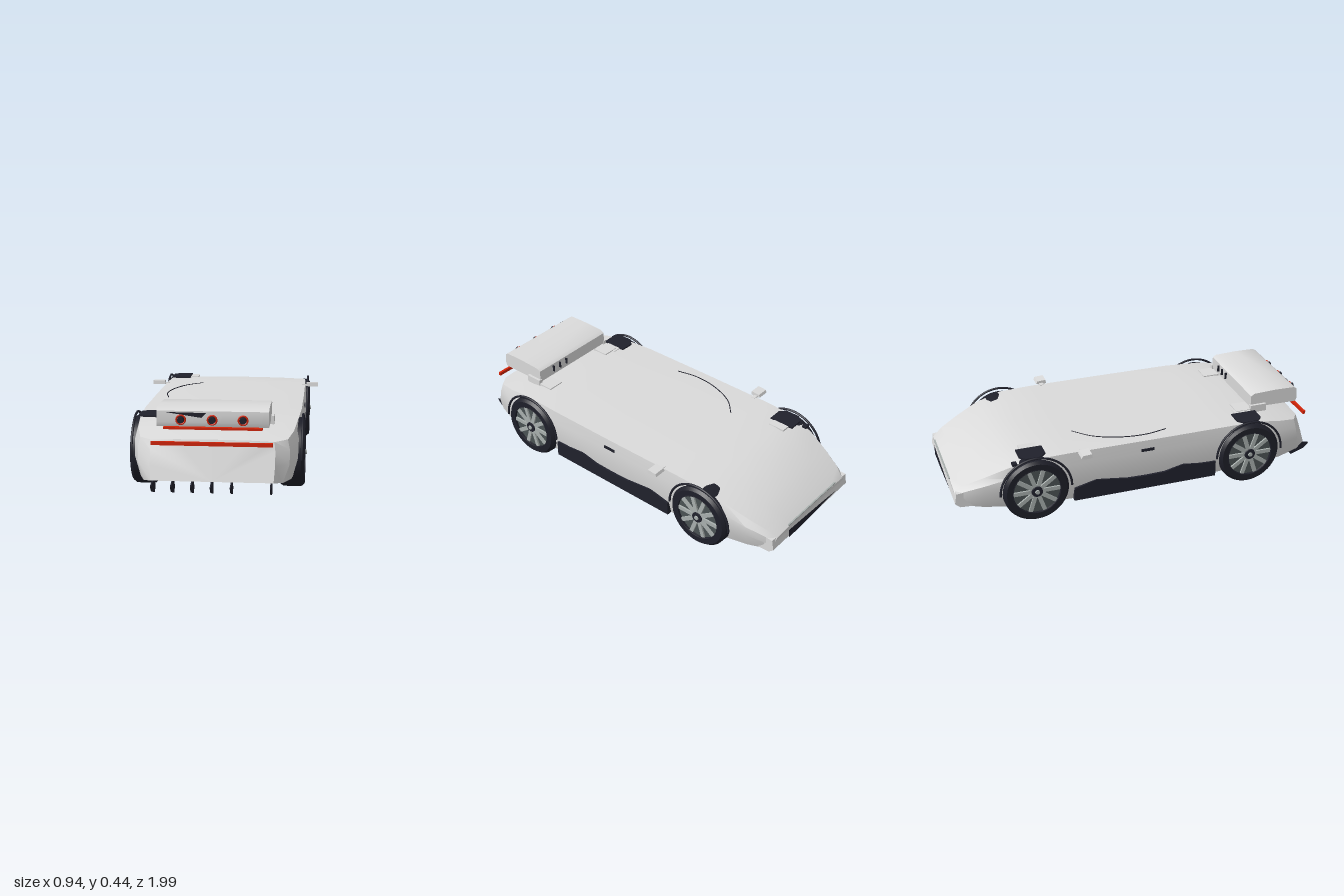
import * as THREE from 'three';
import { toCreasedNormals } from 'three/addons/utils/BufferGeometryUtils.js';

const mat = (name, color, side = THREE.FrontSide) => {
  const m = new THREE.MeshStandardMaterial({ color, side });
  m.name = name;
  return m;
};

// Closed body skin lofted through rings; each ring is
// [z at bottom, z at top, bottom y, bottom half width, waist y, waist half width, shoulder y, shoulder half width, crown]
function loftBody(rings) {
  const pos = [], idx = [];
  let n = 0;
  for (const [zb, zt, yb, wb, ym, wm, yt, wt, crown] of rings) {
    const half = [[wb, yb], [wm, ym], [wm, ym + (yt - ym) * 0.6], [wt, yt], [wt * 0.6, yt + crown * 0.75]];
    const ring = [[0, yb], ...half, [0, yt + crown], ...half.slice().reverse().map(([x, y]) => [-x, y])];
    n = ring.length;
    for (const [x, y] of ring) {
      const t = Math.min(1, (y - yb) / (yt - yb));
      pos.push(x, y, zb + (zt - zb) * t);
    }
  }
  const last = rings.length - 1;
  for (let i = 0; i < last; i++) for (let j = 0; j < n; j++) {
    const k = (j + 1) % n, a = i * n + j, b = i * n + k;
    idx.push(a, b, b + n, a, b + n, a + n);
  }
  for (let j = 1; j < n - 1; j++) {
    idx.push(0, j + 1, j);
    idx.push(last * n, last * n + j, last * n + j + 1);
  }
  const g = new THREE.BufferGeometry();
  g.setAttribute('position', new THREE.Float32BufferAttribute(pos, 3));
  g.setIndex(idx);
  return toCreasedNormals(g, 0.55);
}

// Side profile of [z, y] points, extruded along x from x0
function sideProfile(points, x0, depth) {
  const shape = new THREE.Shape(points.map(([z, y]) => new THREE.Vector2(z, y)));
  const g = new THREE.ExtrudeGeometry(shape, { depth, bevelEnabled: false });
  g.rotateY(-Math.PI / 2);
  g.translate(x0 + depth, 0, 0);
  return toCreasedNormals(g, 0.7);
}

export function createModel() {
  const car = new THREE.Group();
  car.name = 'car';
  const paint = mat('body paint', 0xdadada);
  const dark = mat('dark trim', 0x20212c, THREE.DoubleSide);
  const tyreMat = mat('tyre rubber', 0x1e1f29);
  const red = mat('red light', 0xd42408);
  const silver = mat('spoke silver', 0xa9b0ae);
  const rimMat = mat('rim grey', 0x4b5354);

  const add = (name, geo, material, parent = car) => {
    const m = new THREE.Mesh(geo, material);
    m.name = name;
    parent.add(m);
    return m;
  };
  const box = (name, x, y, z, w, h, d, material, parent) => {
    const m = add(name, new THREE.BoxGeometry(w, h, d), material, parent);
    m.position.set(x, y, z);
    return m;
  };

  // Body skin from the low nose to the raked tail
  add('body', loftBody([
    [-0.975, -0.98, 0.11, 0.28, 0.14, 0.31, 0.18, 0.29, 0.008],
    [-0.93, -0.93, 0.1, 0.32, 0.15, 0.335, 0.215, 0.315, 0.012],
    [-0.84, -0.84, 0.085, 0.34, 0.17, 0.37, 0.255, 0.345, 0.022],
    [-0.72, -0.72, 0.077, 0.36, 0.18, 0.395, 0.305, 0.375, 0.022],
    [-0.58, -0.58, 0.072, 0.375, 0.18, 0.4, 0.341, 0.392, 0.008],
    [-0.4, -0.4, 0.07, 0.38, 0.18, 0.402, 0.346, 0.396, 0.004],
    [0.0, 0.0, 0.07, 0.38, 0.18, 0.403, 0.346, 0.398, 0.005],
    [0.4, 0.4, 0.073, 0.38, 0.18, 0.402, 0.346, 0.396, 0.005],
    [0.62, 0.62, 0.078, 0.375, 0.18, 0.4, 0.34, 0.385, 0.01],
    [0.78, 0.76, 0.085, 0.36, 0.18, 0.388, 0.312, 0.37, 0.018],
    [0.9, 0.86, 0.095, 0.325, 0.18, 0.355, 0.293, 0.345, 0.014],
    [0.96, 0.9, 0.108, 0.285, 0.18, 0.29, 0.288, 0.285, 0.006],
  ]), paint);

  // Nose bumper, intake plate and thin strip
  add('frontBumper', sideProfile([[-0.985, 0.125], [-0.96, 0.102], [-0.89, 0.098], [-0.89, 0.185], [-0.975, 0.18]], -0.33, 0.66), paint);
  const intake = new THREE.Shape([[0.21, 0.175], [0.2, 0.122], [0.02, 0.128], [-0.21, 0.148], [-0.05, 0.16]].map(p => new THREE.Vector2(...p)));
  add('noseIntake', new THREE.ShapeGeometry(intake), dark).position.z = -0.99;
  box('noseStrip', 0, 0.205, -0.985, 0.42, 0.005, 0.008, silver);

  // Wheels: local +y points outward
  const tyreProfile = [[0.125, -0.06], [0.155, -0.06], [0.168, -0.045], [0.17, 0], [0.168, 0.045], [0.155, 0.06], [0.125, 0.06], [0.12, 0.04], [0.12, -0.04], [0.125, -0.06]];
  const tyreGeo = toCreasedNormals(new THREE.LatheGeometry(tyreProfile.map(p => new THREE.Vector2(...p)), 48), 0.6);
  for (const side of [1, -1]) for (const [end, z] of [['front', -0.585], ['rear', 0.575]]) {
    const wheel = new THREE.Group();
    wheel.name = `${end}Wheel`;
    wheel.position.set(side * 0.36, 0.17, z);
    wheel.rotation.z = -side * Math.PI / 2;
    add('tyre', tyreGeo, tyreMat, wheel);
    add('rimDisc', new THREE.CylinderGeometry(0.122, 0.122, 0.08, 40), rimMat, wheel).position.y = 0.007;
    const lip = add('rimLip', new THREE.TorusGeometry(0.124, 0.003, 6, 40), dark, wheel);
    lip.rotation.x = Math.PI / 2;
    lip.position.y = 0.058;
    for (let i = 0; i < 10; i++) {
      const spoke = new THREE.Group();
      spoke.name = 'spoke';
      spoke.rotation.y = (i + 0.5) * Math.PI / 5;
      box('spokeBar', 0.072, 0.05, 0, 0.096, 0.012, 0.021, silver, spoke);
      wheel.add(spoke);
    }
    add('hub', new THREE.CylinderGeometry(0.028, 0.032, 0.02, 20), dark, wheel).position.y = 0.052;
    add('hubCap', new THREE.CylinderGeometry(0.011, 0.013, 0.01, 12), silver, wheel).position.y = 0.063;
    car.add(wheel);

    // Thin dark arch above each wheel
    const arch = add('wheelArch', new THREE.TorusGeometry(0.184, 0.006, 8, 40, Math.PI), dark);
    arch.rotation.y = Math.PI / 2;
    arch.position.set(side * 0.408, 0.17, z);
  }

  // Skirts, handles and mirrors on both sides
  const skirt = [[0.385, 0.07], [0.385, 0.155], [0.3, 0.158], [0.2, 0.172], [0.1, 0.146], [0, 0.143], [-0.1, 0.146], [-0.27, 0.172], [-0.385, 0.14], [-0.39, 0.07]];
  for (const side of [1, -1]) {
    add('sideSkirt', sideProfile(skirt, side * 0.395 - 0.0125, 0.025), dark);
    box('doorHandle', side * 0.403, 0.295, 0.005, 0.008, 0.014, 0.07, dark);
    const mirror = add('mirror', sideProfile([[-0.31, 0.343], [-0.312, 0.364], [-0.36, 0.36], [-0.366, 0.345], [-0.34, 0.34]], side * 0.438 - 0.032, 0.064), paint);
    mirror.name = 'mirror';
    box('mirrorStem', side * 0.4, 0.345, -0.34, 0.04, 0.008, 0.02, paint);
    // Wing mounts
    box('wingPad', side * 0.225, 0.348, 0.6, 0.09, 0.012, 0.09, paint);
    box('wingBracket', side * 0.263, 0.355, 0.68, 0.022, 0.04, 0.09, paint);
  }

  // Dark panels over the wheels on one side
  for (const z of [-0.59, 0.585]) {
    const panel = new THREE.Shape([[-0.392, 0.04], [-0.36, 0.068], [-0.285, 0.068], [-0.285, -0.068], [-0.36, -0.068], [-0.392, -0.04]].map(p => new THREE.Vector2(...p)));
    const g = new THREE.ExtrudeGeometry(panel, { depth: 0.009, bevelEnabled: false });
    g.rotateX(-Math.PI / 2);
    add('wheelPanel', g, dark).position.set(0, 0.344, z);
    box('panelLip', -0.262, 0.346, z, 0.045, 0.01, 0.09, paint);
  }
  box('hoodVent', -0.375, 0.325, -0.685, 0.03, 0.012, 0.025, dark);

  // Curved seam on the roof
  const seam = new THREE.CatmullRomCurve3([[-0.318, 0.134], [-0.34, 0.02], [-0.328, -0.11], [-0.27, -0.25], [-0.187, -0.334]].map(([x, z]) => new THREE.Vector3(x, 0.35, z)));
  add('roofSeam', new THREE.TubeGeometry(seam, 24, 0.0025, 5), dark);

  // Rear wing with small pins ahead of it
  add('rearWing', sideProfile([[0.64, 0.358], [0.905, 0.355], [0.912, 0.375], [0.908, 0.428], [0.89, 0.44], [0.78, 0.442], [0.66, 0.437], [0.64, 0.425]], -0.26, 0.52), paint);
  for (const x of [0.06, 0.11, 0.16]) box('wingPin', x, 0.4, 0.633, 0.005, 0.035, 0.012, dark);
  const flash = new THREE.Shape([[-0.22, 0.423], [-0.05, 0.398], [-0.028, 0.421]].map(p => new THREE.Vector2(...p)));
  add('wingFlash', new THREE.ShapeGeometry(flash), dark).position.z = 0.915;

  // Tail lights
  box('upperTailLight', 0, 0.346, 0.895, 0.46, 0.01, 0.03, red);
  box('lowerTailLight', 0, 0.285, 0.955, 0.56, 0.017, 0.014, red);
  for (const x of [-0.145, 0, 0.142]) {
    add('lampRing', new THREE.TorusGeometry(0.021, 0.004, 8, 24), red).position.set(x, 0.39, 0.925);
    const core = add('lampCore', new THREE.CylinderGeometry(0.014, 0.018, 0.04, 12), dark);
    core.rotation.x = Math.PI / 2;
    core.position.set(x, 0.39, 0.925);
  }

  // Diffuser fins under the tail
  const fin = [[0.998, 0.09], [0.9, 0.115], [0.872, 0.06], [0.895, 0.035], [0.97, 0.06]];
  for (const x of [-0.277, -0.185, -0.093, -0.002, 0.09, 0.273]) add('diffuserFin', sideProfile(fin, x - 0.003, 0.006), dark);

  return car;
}
